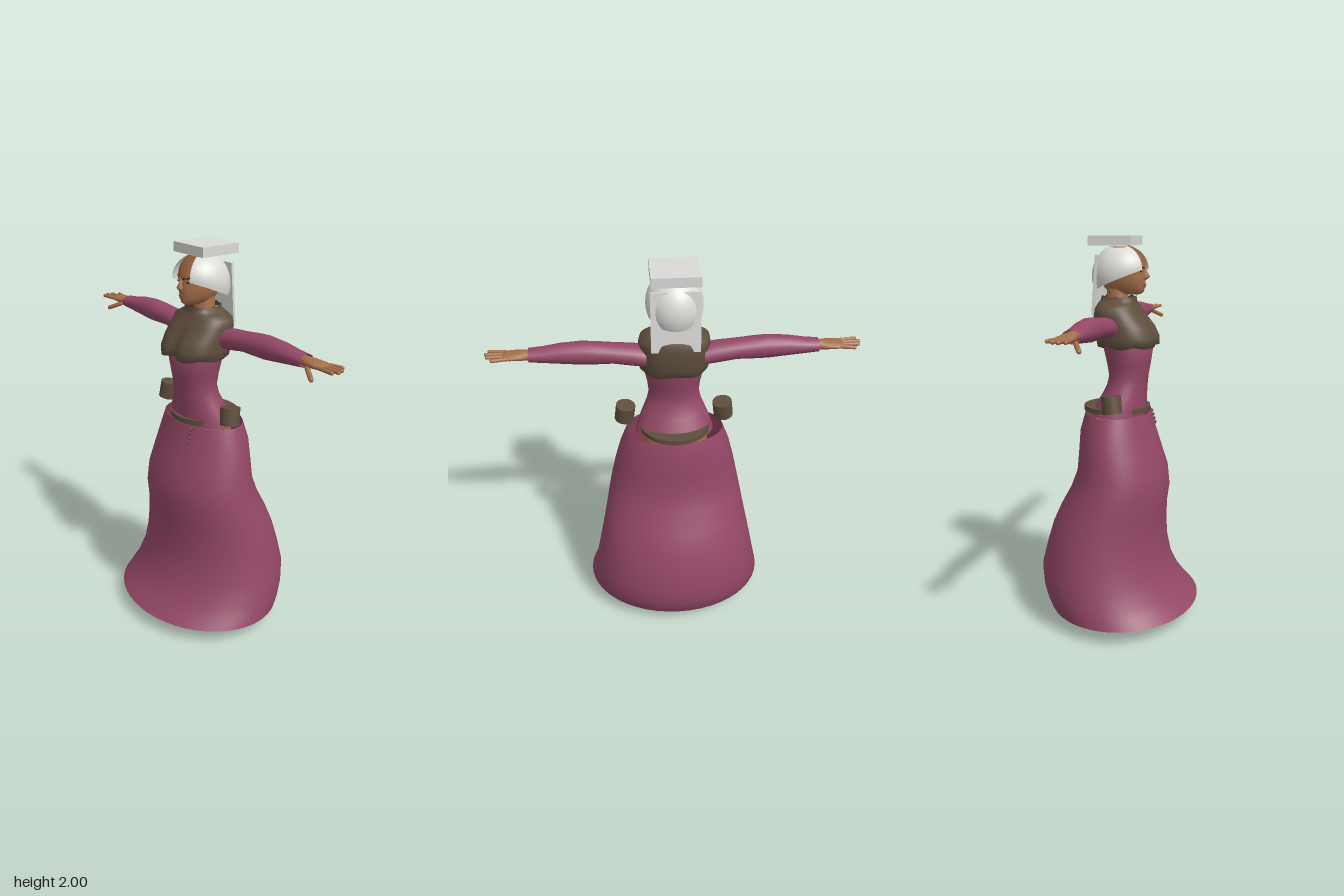
import * as THREE from 'three';

const mat = (name, color, side = THREE.DoubleSide) => {
  const m = new THREE.MeshStandardMaterial({ color, side });
  m.name = name;
  return m;
};

// Smooth surface through elliptic rings [height, x0, x1, z0, z1], listed bottom to top
function loft(rings, { seg = 32, power = 1, tweak = null } = {}) {
  const pos = [], idx = [];
  const bend = (c) => Math.sign(c) * Math.abs(c) ** power;
  for (const [h, x0, x1, z0, z1] of rings) {
    for (let j = 0; j < seg; j++) {
      const a = (j / seg) * Math.PI * 2;
      const v = new THREE.Vector3(
        (x0 + x1) / 2 + ((x1 - x0) / 2) * bend(Math.sin(a)), h,
        (z0 + z1) / 2 + ((z1 - z0) / 2) * bend(Math.cos(a)));
      if (tweak) tweak(v, a);
      pos.push(v.x, v.y, v.z);
    }
  }
  for (let i = 0; i < rings.length - 1; i++) {
    for (let j = 0; j < seg; j++) {
      const k = (j + 1) % seg, a = i * seg + j, b = i * seg + k;
      idx.push(a, b, b + seg, a, b + seg, a + seg);
    }
  }
  const g = new THREE.BufferGeometry();
  g.setAttribute('position', new THREE.Float32BufferAttribute(pos, 3));
  g.setIndex(idx);
  g.computeVertexNormals();
  return g;
}

// Ring symmetric in x: height, half width, back z, front z
const sym = (rows) => rows.map(([h, w, zb, zf]) => [h, -w, w, zb, zf]);
// Loft running along +x: rows of x, top y, bottom y, back z, front z
const armLoft = (rows) =>
  loft(rows.map(([x, t, b, z0, z1]) => [x, -t, -b, z0, z1]), { seg: 20 }).rotateZ(-Math.PI / 2);

// Round-ended rod between two points
function rod(a, b, r) {
  const p = new THREE.Vector3(...a), d = new THREE.Vector3(...b).sub(p);
  const q = new THREE.Quaternion().setFromUnitVectors(new THREE.Vector3(0, 1, 0), d.clone().normalize());
  const mid = p.addScaledVector(d, 0.5);
  return new THREE.CapsuleGeometry(r, d.length(), 4, 8).applyQuaternion(q).translate(mid.x, mid.y, mid.z);
}

const blob = (x, y, z, rx, ry, rz) =>
  new THREE.SphereGeometry(1, 16, 10).scale(rx, ry, rz).translate(x, y, z);

function mirrored(geo) {
  const g = geo.clone().scale(-1, 1, 1);
  const i = g.index.array;
  for (let k = 0; k < i.length; k += 3) [i[k], i[k + 1]] = [i[k + 1], i[k]];
  g.computeVertexNormals();
  return g;
}

// Open-fronted bonnet: a dome whose lower edge slopes down to the back and tucks in
function bonnetGeometry() {
  const nu = 36, nv = 14, start = 0.53, pos = [], idx = [];
  for (let i = 0; i <= nv; i++) {
    for (let j = 0; j <= nu; j++) {
      const a = start + (j / nu) * (Math.PI * 2 - 2 * start);
      const c = Math.cos(a), rz = c > 0 ? 0.155 : 0.14;
      const end = Math.PI / 2 + 0.5 * (1 - c) / 2;
      const edge = 1.835 + (-0.01 + rz * c - 0.125) * 0.4;
      const mid = (edge - 1.957 * Math.cos(end)) / (1 - Math.cos(end));
      const p = (i / nv) * end, r = Math.sin(p);
      pos.push(0.137 * r * Math.sin(a), mid + (1.957 - mid) * Math.cos(p), -0.01 + rz * r * c);
    }
  }
  for (let i = 0; i < nv; i++) {
    for (let j = 0; j < nu; j++) {
      const a = i * (nu + 1) + j, b = a + nu + 1;
      idx.push(a, b, b + 1, a, b + 1, a + 1);
    }
  }
  const g = new THREE.BufferGeometry();
  g.setAttribute('position', new THREE.Float32BufferAttribute(pos, 3));
  g.setIndex(idx);
  g.computeVertexNormals();
  return g;
}

export function createModel() {
  const model = new THREE.Group();
  model.name = 'womanInGown';
  const cloth = mat('plum cloth', 0x934766);
  const leather = mat('brown leather', 0x5e4e3d);
  const skin = mat('skin', 0xa56f4a);
  const hair = mat('auburn hair', 0x8f5a3a);
  const linen = mat('white linen', 0xdadad7);
  const dark = mat('dark brown', 0x2e2018);
  const lip = mat('lip', 0x80493a);

  const add = (name, geo, material) => {
    const m = new THREE.Mesh(geo, material);
    m.name = name;
    model.add(m);
    return m;
  };
  const pair = (name, geo, material) => {
    add(name + 'Left', geo, material);
    add(name + 'Right', mirrored(geo), material);
  };

  // Gown
  add('skirt', loft(sym([
    [0.08, 0.485, -0.37, 0.415], [0.13, 0.475, -0.395, 0.365], [0.18, 0.464, -0.41, 0.32],
    [0.28, 0.443, -0.42, 0.268], [0.4, 0.419, -0.39, 0.243], [0.5, 0.398, -0.36, 0.238],
    [0.6, 0.377, -0.315, 0.24], [0.7, 0.357, -0.26, 0.253], [0.8, 0.336, -0.222, 0.243],
    [0.9, 0.315, -0.213, 0.21], [1.02, 0.285, -0.205, 0.172], [1.11, 0.25, -0.18, 0.15],
  ]), { seg: 48 }), cloth);
  add('bodice', loft(sym([
    [1.1, 0.2, -0.15, 0.13], [1.15, 0.185, -0.125, 0.13], [1.2, 0.163, -0.095, 0.132],
    [1.25, 0.14, -0.07, 0.136], [1.3, 0.128, -0.06, 0.141], [1.36, 0.135, -0.07, 0.152],
    [1.45, 0.155, -0.09, 0.165], [1.55, 0.15, -0.1, 0.12],
  ])), cloth);
  add('breastCover', loft(sym([
    [1.45, 0.15, -0.09, 0.155], [1.458, 0.172, -0.115, 0.195], [1.5, 0.178, -0.125, 0.192],
    [1.55, 0.175, -0.132, 0.168], [1.61, 0.175, -0.135, 0.117], [1.645, 0.168, -0.128, 0.095],
    [1.668, 0.12, -0.115, 0.082], [1.68, 0.088, -0.105, 0.078], [1.7, 0.082, -0.1, 0.076],
  ]), {
    seg: 48, power: 0.85,
    tweak: (v, a) => {
      // Cleft between the bust lobes, wavy hem and collar rim
      if (v.z > 0 && v.y > 1.455 && v.y < 1.58) v.z -= 0.028 * Math.exp(-((v.x / 0.03) ** 2));
      if (v.y < 1.46) v.y += 0.006 * Math.cos(6 * a);
      if (v.y > 1.69) v.y += 0.005 * Math.cos(12 * a);
    },
  }), leather);
  pair('sleeve', armLoft([
    [0.14, 1.6, 1.5, -0.1, 0.03], [0.2, 1.612, 1.507, -0.1, 0.028], [0.3, 1.62, 1.522, -0.095, 0.025],
    [0.38, 1.63, 1.52, -0.094, 0.024], [0.45, 1.635, 1.52, -0.092, 0.024],
    [0.55, 1.628, 1.53, -0.088, 0.018], [0.63, 1.614, 1.538, -0.083, 0.012], [0.7, 1.606, 1.545, -0.08, 0.01],
  ]), cloth);

  // Hands
  pair('hand', armLoft([
    [0.62, 1.6, 1.55, -0.06, -0.01], [0.7, 1.6, 1.552, -0.062, -0.008], [0.74, 1.598, 1.555, -0.075, 0.005],
    [0.79, 1.594, 1.56, -0.08, 0.008], [0.82, 1.588, 1.563, -0.075, 0.003], [0.825, 1.577, 1.574, -0.04, -0.036],
  ]), skin);
  [[-0.068, -0.082, 0.87], [-0.046, -0.05, 0.895], [-0.024, -0.022, 0.903], [-0.003, 0.006, 0.89]].forEach(
    ([z0, z1, tip], i) => pair('finger' + (i + 1), rod([0.8, 1.577, z0], [tip, 1.578, z1], 0.0095), skin));
  pair('thumb', rod([0.735, 1.56, -0.005], [0.8, 1.53, 0.033], 0.0115), skin);

  // Legs and shoes
  pair('leg', loft([
    [0.1, 0.102, 0.172, -0.1, -0.02], [0.2, 0.1, 0.17, -0.1, -0.02], [0.36, 0.08, 0.18, -0.12, -0.01],
    [0.5, 0.075, 0.17, -0.09, 0.01], [0.8, 0.035, 0.18, -0.09, 0.06], [1.08, 0.01, 0.17, -0.11, 0.09],
  ], { seg: 20 }), skin);
  pair('shoe', loft([
    [0.004, 0.13, 0.14, 0.02, 0.03], [0.004, 0.09, 0.185, -0.105, 0.15], [0.02, 0.075, 0.2, -0.12, 0.17],
    [0.04, 0.076, 0.2, -0.12, 0.15], [0.06, 0.082, 0.19, -0.118, 0.09], [0.08, 0.092, 0.182, -0.115, 0.02],
    [0.12, 0.097, 0.177, -0.107, -0.012], [0.15, 0.097, 0.177, -0.105, -0.014],
  ], { seg: 24 }), leather);

  // Belt, pouches and hanging charm
  add('belt', new THREE.CylinderGeometry(1, 1, 0.025, 40).scale(0.18, 1, 0.172).translate(0, 1.128, -0.022), leather);
  pair('pouch', new THREE.CylinderGeometry(0.05, 0.05, 0.088, 20)
    .rotateX(-0.12).rotateZ(0.12).translate(0.253, 1.188, 0.018), leather);
  for (let i = 0; i < 4; i++) {
    add('charm' + (i + 1), blob(0.1, 1.095 - i * 0.021, 0.143 + i * 0.006, 0.006, 0.009, 0.006), leather);
  }

  // Head
  add('neck', loft(sym([
    [1.62, 0.07, -0.085, 0.05], [1.67, 0.055, -0.075, 0.035], [1.75, 0.052, -0.075, 0.035],
  ])), skin);
  add('face', loft(sym([
    [1.716, 0.008, 0.02, 0.07], [1.712, 0.028, -0.03, 0.1], [1.725, 0.046, -0.07, 0.117],
    [1.745, 0.06, -0.09, 0.12], [1.77, 0.069, -0.095, 0.124], [1.8, 0.075, -0.1, 0.125],
    [1.83, 0.078, -0.11, 0.122], [1.85, 0.08, -0.115, 0.127], [1.872, 0.08, -0.115, 0.125],
  ])), skin);
  add('hairline', loft(sym([
    [1.872, 0.08, -0.115, 0.125], [1.9, 0.079, -0.11, 0.112], [1.925, 0.072, -0.09, 0.088],
    [1.945, 0.06, -0.06, 0.055], [1.952, 0.01, -0.02, 0.01],
  ])), hair);
  add('nose', loft(sym([
    [1.782, 0.004, 0.11, 0.122], [1.788, 0.016, 0.1, 0.138], [1.8, 0.015, 0.1, 0.148],
    [1.82, 0.01, 0.1, 0.137], [1.85, 0.007, 0.1, 0.128],
  ]), { seg: 12 }), skin);
  add('upperLip', blob(0, 1.759, 0.122, 0.021, 0.005, 0.007), lip);
  add('lowerLip', blob(0, 1.75, 0.12, 0.017, 0.005, 0.008), lip);
  pair('eye', blob(0.033, 1.826, 0.109, 0.013, 0.0045, 0.005), dark);
  pair('eyebrow', rod([0.014, 1.842, 0.123], [0.05, 1.85, 0.103], 0.0035), dark);

  // Headdress
  add('bonnet', bonnetGeometry(), linen);
  add('veil', new THREE.BoxGeometry(0.236, 0.3, 0.012).rotateX(0.07).translate(0, 1.76, -0.108), linen);
  add('flatHat', new THREE.BoxGeometry(0.23, 0.048, 0.222).translate(0, 1.976, -0.031), linen);

  return model;
}
